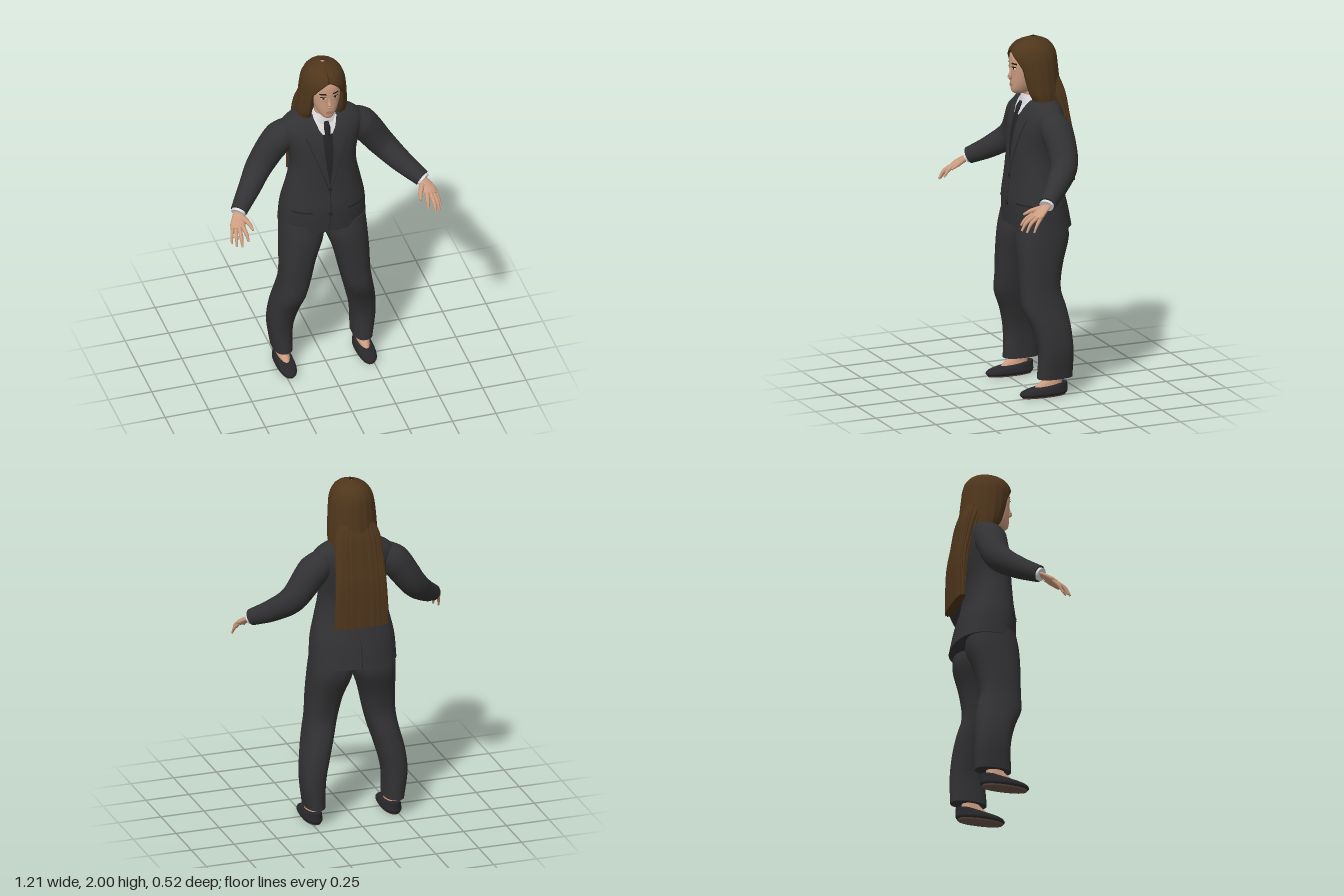
import * as THREE from 'three';

const paint = (name, color) => {
  const m = new THREE.MeshStandardMaterial({ color });
  m.name = name;
  return m;
};

// Skin a list of equal-length rings; optional flat caps at both ends
function skinRings(rows, closed, caps) {
  const n = rows[0].length, pos = rows.flat(2), idx = [];
  const last = closed ? n : n - 1;
  for (let i = 0; i < rows.length - 1; i++) for (let j = 0; j < last; j++) {
    const a = i * n + j, b = i * n + (j + 1) % n;
    idx.push(a, b, a + n, b, b + n, a + n);
  }
  if (caps) for (const [row, flip] of [[rows[0], true], [rows[rows.length - 1], false]]) {
    const c = pos.length / 3;
    pos.push(...[0, 1, 2].map(k => row.reduce((s, p) => s + p[k], 0) / n), ...row.flat());
    for (let j = 0; j < n; j++) {
      const a = c + 1 + j, b = c + 1 + (j + 1) % n;
      if (flip) idx.push(c, b, a); else idx.push(c, a, b);
    }
  }
  const g = new THREE.BufferGeometry();
  g.setAttribute('position', new THREE.Float32BufferAttribute(pos, 3));
  g.setIndex(idx);
  g.computeVertexNormals();
  return g;
}

// Smoothly interpolate levels of [y, cx, cz, halfWidth, depthFront, depthBack]
function levelAt(levels, y) {
  const N = levels.length;
  let i = 0;
  while (i < N - 2 && y > levels[i + 1][0]) i++;
  const A = levels[i], B = levels[i + 1], h = B[0] - A[0];
  const t = Math.min(1, Math.max(0, (y - A[0]) / h));
  const slope = (q, k) => {
    const p = levels[Math.max(0, q - 1)], r = levels[Math.min(N - 1, q + 1)];
    return (r[k] - p[k]) / (r[0] - p[0]);
  };
  return A.map((a, k) => k === 0 ? y :
    a * (1 + 2 * t) * (1 - t) ** 2 + B[k] * t * t * (3 - 2 * t) +
    h * slope(i, k) * t * (1 - t) ** 2 + h * slope(i + 1, k) * t * t * (t - 1));
}

// Upright body from levels; open(y) leaves a gap at the front with turned-in edges
function loft(levels, { rings = 24, seg = 32, n = 2, open = null, ripple = 0, waves = 14 } = {}) {
  const y0 = levels[0][0], y1 = levels[levels.length - 1][0], rows = [];
  const pw = v => Math.sign(v) * Math.abs(v) ** (2 / n);
  for (let i = 0; i <= rings; i++) {
    const L = levelAt(levels, y0 + (y1 - y0) * (1 - Math.cos(Math.PI * i / rings)) / 2);
    const [y, cx, cz, rx, rf, rb] = L, o = open ? open(y) : 0;
    const point = (th, k) => {
      const c = pw(Math.cos(th)), r = k * (1 + ripple * Math.cos(waves * th));
      return [cx + r * rx * pw(Math.sin(th)), y, cz + r * (c > 0 ? rf : rb) * c];
    };
    const row = [];
    for (let j = 0; j < seg + (open ? 1 : 0); j++) row.push(point(o + (2 * Math.PI - 2 * o) * j / seg, 1));
    if (open) { row.unshift(point(o, 0.82)); row.push(point(-o, 0.82)); }
    rows.push(row);
  }
  return skinRings(rows, !open, !open);
}

// Tapered limb through points [x, y, z, radius]; s mirrors it, flat squashes it
function limb(points, s = 1, flat = 1, steps = 20, seg = 16) {
  const curve = new THREE.CatmullRomCurve3(points.map(p => new THREE.Vector3(p[0] * s, p[1], p[2])));
  const up = new THREE.Vector3(0, 1, 0), rows = [];
  for (let i = 0; i <= steps; i++) {
    const t = i / steps, f = t * (points.length - 1), k = Math.min(points.length - 2, Math.floor(f));
    const r = THREE.MathUtils.lerp(points[k][3], points[k + 1][3], f - k);
    const c = curve.getPoint(t), d = curve.getTangent(t);
    const side = d.clone().cross(up).normalize(), nor = side.clone().cross(d);
    rows.push(Array.from({ length: seg }, (_, j) => {
      const a = 2 * Math.PI * j / seg;
      return c.clone().addScaledVector(side, r * Math.cos(a)).addScaledVector(nor, -r * flat * Math.sin(a)).toArray();
    }));
  }
  return skinRings(rows, true, true);
}

// Thin patch lying on a lofted surface; rows are [y, x0, x1] going up
function patch(levels, rows, { s = 1, off = 0.004, n = 2, back = false } = {}) {
  const out = [];
  for (let i = 0; i < rows.length - 1; i++) for (let q = i ? 1 : 0; q <= 6; q++) {
    const [y, a, b] = rows[i].map((v, k) => THREE.MathUtils.lerp(v, rows[i + 1][k], q / 6));
    const [, cx, cz, rx, rf, rb] = levelAt(levels, y);
    const row = [];
    for (let j = 0; j <= 8; j++) {
      const x = s * THREE.MathUtils.lerp(a, b, j / 8);
      const c = Math.max(0, 1 - Math.abs((x - cx) / rx) ** n) ** (1 / n);
      row.push([x, y, back ? cz - rb * c - off : cz + rf * c + off]);
    }
    out.push((s < 0) !== back ? row.reverse() : row);
  }
  return skinRings(out, false, false);
}

export function createModel() {
  const suit = paint('suit charcoal', 0x323234), tieDark = paint('tie black', 0x242428);
  const shirt = paint('shirt white', 0xdcdcde), skin = paint('skin', 0xcc9c80);
  const hair = paint('hair brown', 0x4f361c), shoeDark = paint('shoe black', 0x28282b);
  const soleBrown = paint('sole brown', 0x6a5347), lip = paint('lip', 0xb07a68);
  const dark = paint('brow dark', 0x20170f), eyeWhite = paint('eye white', 0xd8d0c8);
  hair.side = THREE.DoubleSide;

  const model = new THREE.Group();
  const add = (name, geo, mat) => {
    const m = new THREE.Mesh(geo, mat);
    m.name = name;
    model.add(m);
  };

  // Jacket
  const jacket = [
    [0.94, 0, -0.08, 0.245, 0.17, 0.17], [1.08, 0, -0.07, 0.237, 0.165, 0.15],
    [1.2, 0, -0.06, 0.212, 0.142, 0.125], [1.32, 0, -0.06, 0.188, 0.135, 0.115],
    [1.4, 0, -0.07, 0.19, 0.14, 0.12], [1.5, 0, -0.08, 0.215, 0.135, 0.12],
    [1.58, 0, -0.09, 0.232, 0.118, 0.105], [1.63, 0, -0.095, 0.19, 0.095, 0.085],
    [1.66, 0, -0.1, 0.115, 0.075, 0.06]];
  const jn = { n: 2.3 };
  add('jacket', loft(jacket, { rings: 36, seg: 48, n: 2.3 }), suit);
  add('tie', patch(jacket, [[1.23, -0.004, 0.004], [1.4, -0.022, 0.022], [1.58, -0.03, 0.03]], { ...jn, off: 0.003 }), tieDark);
  add('tieKnot', limb([[0, 1.635, 0.012, 0.012], [0, 1.6, 0.03, 0.019], [0, 1.55, 0.042, 0.013]], 1, 0.6), tieDark);
  add('frontSeam', patch(jacket, [[0.95, -0.012, -0.008], [1.05, 0, 0.004], [1.23, 0, 0.004]], { ...jn, off: 0.002 }), tieDark);
  add('backVent', patch(jacket, [[0.945, -0.003, 0.003], [1.1, -0.001, 0.001]], { ...jn, off: 0.002, back: true }), tieDark);
  for (const y of [1.065, 1.22]) {
    const button = new THREE.CylinderGeometry(0.012, 0.012, 0.008, 16).rotateX(Math.PI / 2);
    const L = levelAt(jacket, y);
    add('button', button.translate(0, y, L[2] + L[4] + 0.003), tieDark);
  }

  // Shirt collar, neck and head
  add('collar', loft([[1.56, 0, -0.045, 0.095, 0.062, 0.06], [1.62, 0, -0.045, 0.084, 0.06, 0.06],
    [1.675, 0, -0.045, 0.058, 0.05, 0.052]]), shirt);
  add('neck', loft([[1.6, 0, -0.045, 0.052, 0.045, 0.05], [1.68, 0, -0.045, 0.05, 0.045, 0.05],
    [1.76, 0, -0.04, 0.052, 0.05, 0.06]]), skin);
  const head = [
    [1.683, 0, 0, 0.016, 0.052, 0.03], [1.697, 0, 0, 0.038, 0.068, 0.05],
    [1.74, 0, 0, 0.061, 0.073, 0.09], [1.8, 0, 0, 0.076, 0.073, 0.12],
    [1.86, 0, 0, 0.08, 0.075, 0.14], [1.92, 0, 0, 0.074, 0.062, 0.14], [1.965, 0, -0.02, 0.04, 0.03, 0.09]];
  add('head', loft(head, { rings: 32, n: 2.2 }), skin);
  add('nose', limb([[0, 1.85, 0.066, 0.006], [0, 1.805, 0.074, 0.009], [0, 1.781, 0.079, 0.014], [0, 1.768, 0.07, 0.008]]), skin);
  const hn = { n: 2.2, off: 0.003 };
  add('upperLip', patch(head, [[1.736, -0.024, 0.024], [1.744, -0.008, 0.008]], hn), lip);
  add('lowerLip', patch(head, [[1.726, -0.012, 0.012], [1.735, -0.024, 0.024]], hn), lip);

  // Hair: open cap around the face and a long fall down the back
  add('hairCap', loft([
    [1.65, 0, -0.075, 0.138, 0.07, 0.145], [1.7, 0, -0.07, 0.14, 0.1, 0.14], [1.84, 0, -0.065, 0.13, 0.14, 0.13],
    [1.92, 0, -0.06, 0.114, 0.14, 0.122], [1.97, 0, -0.06, 0.078, 0.1, 0.085], [2, 0, -0.06, 0.012, 0.015, 0.015]],
  { rings: 44, seg: 72, ripple: 0.008, waves: 18, open: y => 0.72 * Math.sqrt(Math.min(1, Math.max(0, (1.925 - y) / 0.09))) }), hair);
  add('hairFall', loft([
    [1.19, 0, -0.23, 0.152, 0.02, 0.03], [1.3, 0, -0.23, 0.15, 0.025, 0.03], [1.45, 0, -0.22, 0.142, 0.035, 0.036],
    [1.57, 0, -0.195, 0.136, 0.045, 0.042], [1.7, 0, -0.16, 0.125, 0.06, 0.055], [1.8, 0, -0.12, 0.09, 0.05, 0.06]],
  { rings: 24, seg: 96, n: 3, ripple: 0.035, waves: 24 }), hair);

  for (const s of [1, -1]) {
    const p = s > 0 ? 'left' : 'right';

    // Lapel, pocket flap and shirt front
    add(p + 'Lapel', patch(jacket, [[1.23, 0, 0.006], [1.4, 0.02, 0.065], [1.55, 0.036, 0.118], [1.575, 0.042, 0.1],
      [1.6, 0.048, 0.1], [1.65, 0.066, 0.09]], { ...jn, s, off: 0.008 }), suit);
    add(p + 'LapelEdge', patch(jacket, [[1.23, 0.004, 0.01], [1.4, 0.06, 0.069], [1.55, 0.115, 0.122]], { ...jn, s, off: 0.005 }), tieDark);
    add(p + 'Pocket', patch(jacket, [[1.075, 0.1, 0.205], [1.085, 0.1, 0.205]], { ...jn, s, off: 0.005 }), tieDark);
    add(p + 'ShirtFront', patch(jacket, [[1.565, 0.012, 0.028], [1.6, 0.012, 0.05], [1.65, 0.012, 0.068]], { ...jn, s, off: 0.006 }), shirt);

    // Eye and brow
    add(p + 'Eye', patch(head, [[1.829, 0.022, 0.045], [1.836, 0.017, 0.05], [1.842, 0.024, 0.046]], { ...hn, s, off: 0.002 }), eyeWhite);
    add(p + 'Iris', patch(head, [[1.829, 0.029, 0.039], [1.841, 0.029, 0.039]], { ...hn, s, off: 0.004 }), dark);
    add(p + 'Lash', patch(head, [[1.84, 0.017, 0.052], [1.846, 0.022, 0.05]], { ...hn, s, off: 0.004 }), dark);
    add(p + 'Brow', patch(head, [[1.857, 0.014, 0.056], [1.866, 0.022, 0.052]], { ...hn, s }), dark);

    // Sleeve, cuff and hand
    add(p + 'Sleeve', limb([[0.16, 1.55, -0.09, 0.075], [0.235, 1.5, -0.1, 0.09], [0.35, 1.345, -0.09, 0.076],
      [0.435, 1.26, -0.01, 0.063], [0.527, 1.19, 0.09, 0.047]], s, 1, 28, 24), suit);
    add(p + 'Cuff', limb([[0.52, 1.195, 0.083, 0.041], [0.535, 1.183, 0.1, 0.041]], s, 0.9, 3), shirt);
    add(p + 'Palm', limb([[0.525, 1.19, 0.09, 0.03], [0.54, 1.17, 0.12, 0.034], [0.553, 1.145, 0.155, 0.043],
      [0.56, 1.13, 0.175, 0.036]], s, 0.42), skin);
    const fingers = {
      Thumb: [[0.518, 1.17, 0.125, 0.016], [0.495, 1.155, 0.17, 0.013], [0.482, 1.135, 0.215, 0.006]],
      IndexFinger: [[0.53, 1.145, 0.175, 0.013], [0.522, 1.12, 0.218, 0.011], [0.517, 1.085, 0.245, 0.006]],
      MiddleFinger: [[0.55, 1.142, 0.17, 0.013], [0.555, 1.11, 0.228, 0.011], [0.557, 1.066, 0.258, 0.006]],
      RingFinger: [[0.567, 1.138, 0.162, 0.012], [0.578, 1.105, 0.212, 0.01], [0.583, 1.06, 0.238, 0.006]],
      LittleFinger: [[0.58, 1.137, 0.15, 0.011], [0.595, 1.1, 0.182, 0.009], [0.602, 1.06, 0.203, 0.005]] };
    for (const [name, pts] of Object.entries(fingers)) add(p + name, limb(pts, s, 1, 10, 10), skin);

    // Trouser leg, ankle and shoe
    const side = levels => levels.map(([y, cx, ...r]) => [y, cx * s, ...r]);
    add(p + 'TrouserLeg', loft(side([
      [0.1, 0.23, -0.085, 0.055, 0.1, 0.105], [0.26, 0.237, -0.09, 0.069, 0.1, 0.1], [0.39, 0.217, -0.07, 0.078, 0.11, 0.112],
      [0.5, 0.19, -0.04, 0.081, 0.125, 0.125], [0.6, 0.17, -0.03, 0.086, 0.117, 0.11], [0.735, 0.152, -0.035, 0.099, 0.125, 0.125],
      [0.88, 0.124, -0.06, 0.12, 0.148, 0.145], [0.98, 0.12, -0.065, 0.115, 0.135, 0.13]]), { rings: 36, n: 2.4 }), suit);
    add(p + 'Ankle', loft(side([[0.03, 0.23, -0.08, 0.04, 0.13, 0.06], [0.065, 0.23, -0.08, 0.036, 0.1, 0.05],
      [0.1, 0.23, -0.08, 0.034, 0.055, 0.045], [0.16, 0.23, -0.085, 0.034, 0.042, 0.042]])), skin);
    add(p + 'Shoe', loft(side([[0.005, 0.23, -0.03, 0.046, 0.14, 0.12], [0.02, 0.23, -0.03, 0.054, 0.15, 0.13],
      [0.04, 0.23, -0.035, 0.05, 0.13, 0.125], [0.058, 0.23, -0.07, 0.043, 0.08, 0.09],
      [0.072, 0.23, -0.1, 0.036, 0.03, 0.06]]), { n: 2.3 }), shoeDark);
    add(p + 'Sole', loft(side([[0, 0.23, -0.03, 0.044, 0.137, 0.117], [0.008, 0.23, -0.03, 0.048, 0.142, 0.122]]), { rings: 2, n: 2.3 }), soleBrown);
  }
  return model;
}
